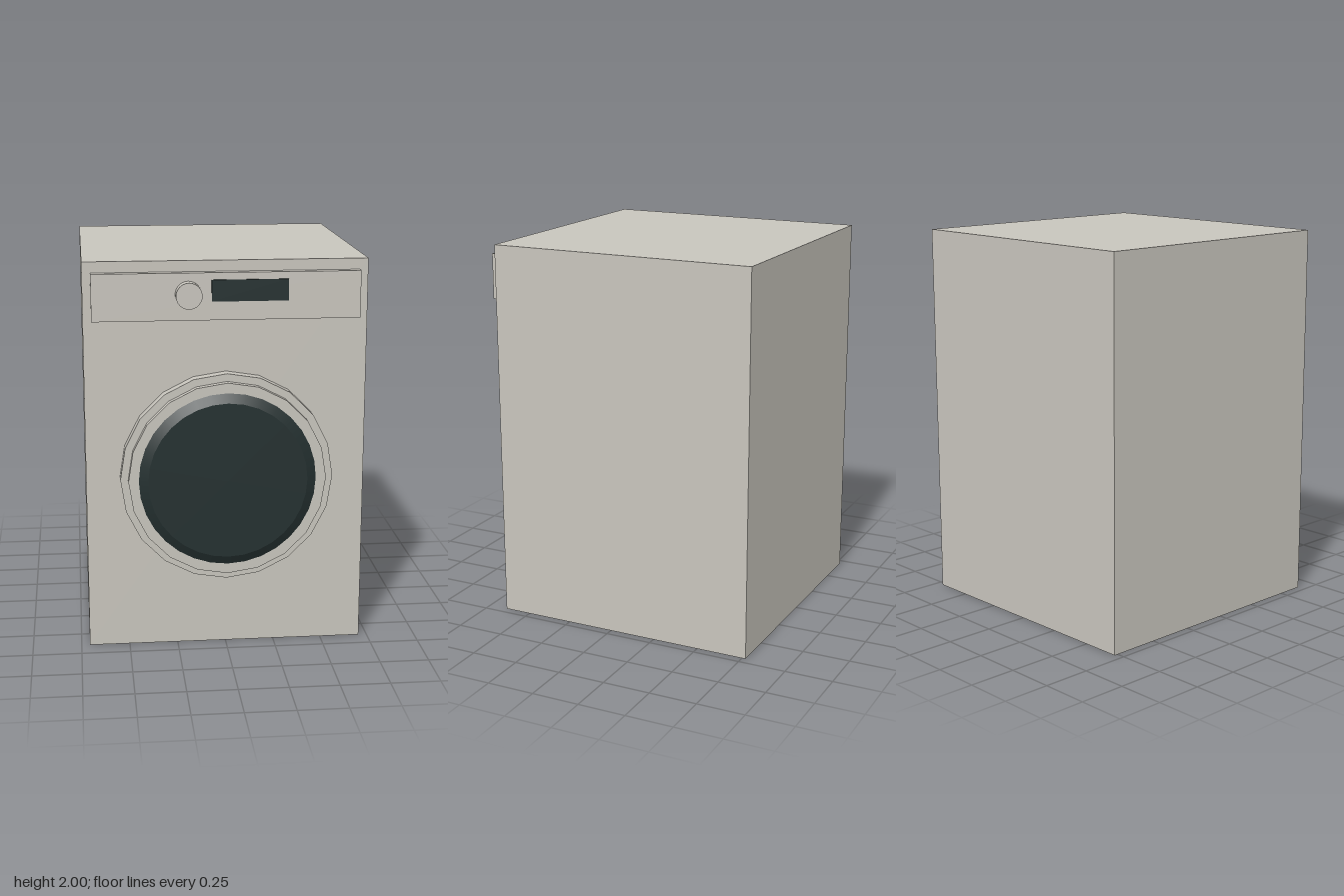
import * as THREE from 'three';

export function createModel() {
  const model = new THREE.Group();
  model.name = 'washingMachine';

  const casing = new THREE.MeshStandardMaterial({ color: 0xc8c5bd });
  casing.name = 'warm grey casing';
  const glass = new THREE.MeshStandardMaterial({ color: 0x243030 });
  glass.name = 'dark glass';

  const add = (name, geometry, material, x, y, z) => {
    const mesh = new THREE.Mesh(geometry, material);
    mesh.name = name;
    mesh.position.set(x, y, z);
    model.add(mesh);
  };

  // Box given by its extents
  const box = (name, material, x0, x1, y0, y1, z0, z1) =>
    add(name, new THREE.BoxGeometry(x1 - x0, y1 - y0, z1 - z0), material,
      (x0 + x1) / 2, (y0 + y1) / 2, (z0 + z1) / 2);

  // Disc facing the front, running from z0 (radius r0) to z1 (radius r1)
  const disc = (name, material, x, y, r0, r1, z0, z1, sides) =>
    add(name, new THREE.CylinderGeometry(r1, r0, z1 - z0, sides).rotateX(Math.PI / 2),
      material, x, y, (z0 + z1) / 2);

  // Cabinet and control panel
  box('cabinet', casing, -0.707, 0.707, 0, 2, -0.77, 0.645);
  box('controlPanel', casing, -0.665, 0.665, 1.71, 1.945, 0.64, 0.687);
  box('display', glass, -0.075, 0.305, 1.803, 1.91, 0.685, 0.693);
  disc('programKnob', casing, -0.19, 1.84, 0.065, 0.065, 0.68, 0.747, 24);

  // Stepped round door with a bevelled window
  const doorY = 0.907;
  disc('doorFrame', casing, 0, doorY, 0.537, 0.537, 0.64, 0.708, 20);
  disc('doorRim', casing, 0, doorY, 0.498, 0.498, 0.7, 0.745, 20);
  disc('doorWindow', glass, 0, doorY, 0.448, 0.4, 0.744, 0.77, 32);

  return model;
}
